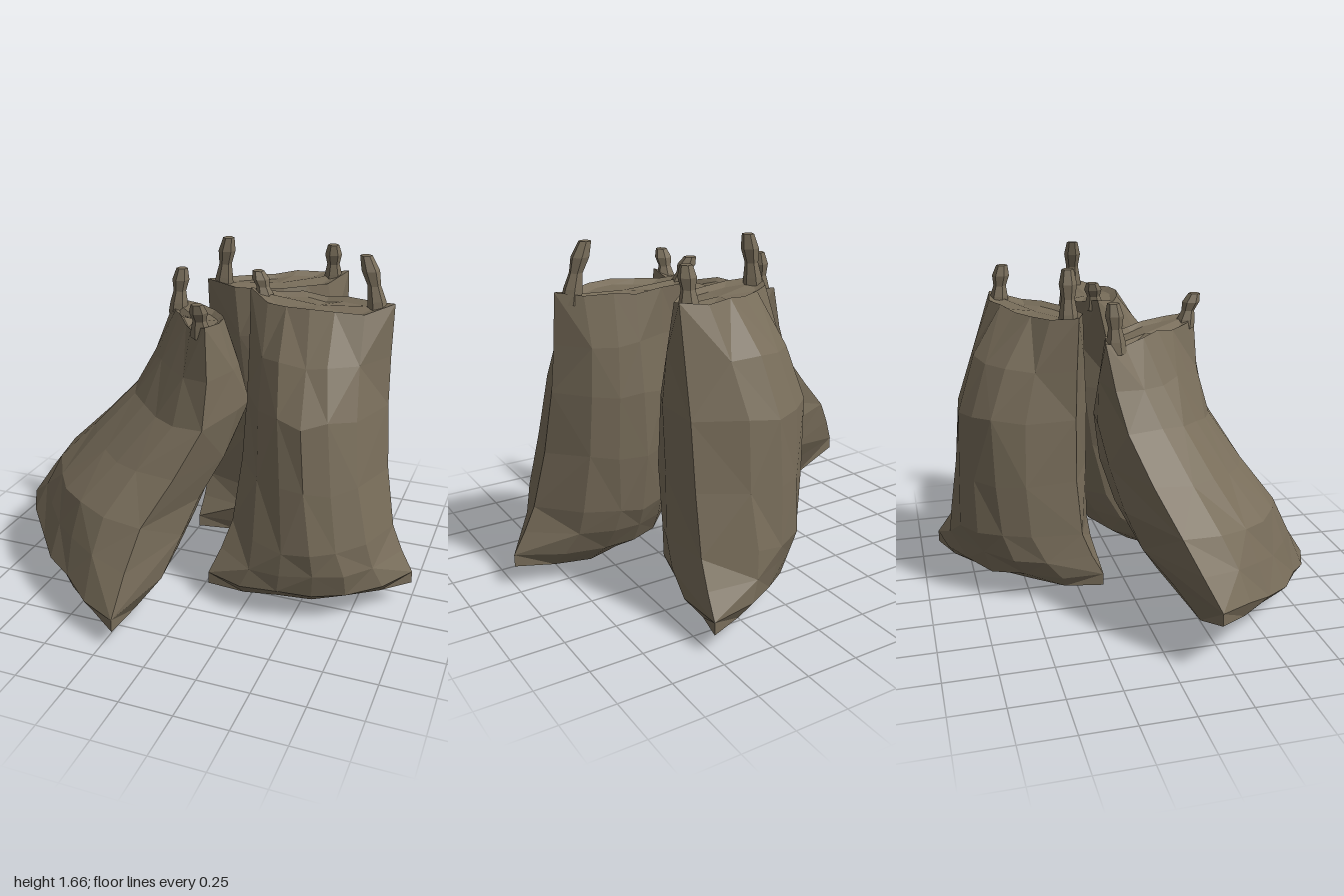
import * as THREE from 'three';

const SIDE = 6; // segments along each broad side of a sack
const LEVELS = 6; // bands of cloth from base to rim

const vec = (p) => new THREE.Vector3(...p);
const curve = (points) => new THREE.CatmullRomCurve3(points.map(vec));

// small seeded generator for the crumpled cloth
function seeded(seed) {
  return () => {
    seed = (seed * 16807) % 2147483647;
    return seed / 2147483647 - 0.5;
  };
}

const centre = (ring) =>
  ring.reduce((s, p) => s.add(p), new THREE.Vector3()).divideScalar(ring.length);

// flat-faceted skin through rings of points, closed at both ends
function loft(rings) {
  const pos = [];
  const tri = (...pts) => pts.forEach((p) => pos.push(p.x, p.y, p.z));
  const first = rings[0], last = rings[rings.length - 1];
  const bottom = centre(first), top = centre(last);
  const n = first.length;
  for (let j = 0; j < n; j++) {
    const k = (j + 1) % n;
    for (let i = 0; i < rings.length - 1; i++) {
      const a = rings[i], b = rings[i + 1];
      if ((i + j) % 2) {
        tri(a[j], a[k], b[k]);
        tri(a[j], b[k], b[j]);
      } else {
        tri(a[j], a[k], b[j]);
        tri(a[k], b[k], b[j]);
      }
    }
    tri(first[k], first[j], bottom);
    tri(last[j], last[k], top);
  }
  const g = new THREE.BufferGeometry();
  g.setAttribute('position', new THREE.Float32BufferAttribute(pos, 3));
  g.computeVertexNormals();
  return g;
}

// cross-section between two seam points, bulging outward and inward
function section(L, R, out, inn, power, rand) {
  const d = R.clone().sub(L).setY(0).normalize();
  const normal = new THREE.Vector3(-d.z, 0, d.x);
  return Array.from({ length: SIDE * 2 }, (_, j) => {
    const front = j <= SIDE;
    const t = front ? j / SIDE : 2 - j / SIDE;
    const s = Math.pow(Math.max(0, Math.sin(Math.PI * t)), power);
    const p = L.clone().lerp(R, t).addScaledVector(normal, s * (front ? out : -inn));
    if (s > 0.01) p.add(new THREE.Vector3(rand(), rand() * 1.6, rand()).multiplyScalar(0.02));
    return p;
  });
}

// twisted tuft of cloth: wide root, thin neck, knobbed end
function tuft(base, tip) {
  const bend = base.clone().lerp(tip, 0.25).setY((base.y + tip.y) / 2);
  const path = new THREE.QuadraticBezierCurve3(base, bend, tip);
  const radii = [0.05, 0.043, 0.031, 0.042, 0.028];
  return loft(radii.map((r, i) => {
    const c = path.getPoint(i / 4);
    return Array.from({ length: 6 }, (_, j) => {
      const a = (j / 6) * Math.PI * 2 + 0.3;
      return new THREE.Vector3(c.x - Math.cos(a) * r, c.y, c.z + Math.sin(a) * r);
    });
  }));
}

// seams run base to rim; bulge gives [outward, inward] depth at the same four levels
function makeSack(name, material, { seams, bulge, droop, tips, seed }) {
  const rand = seeded(seed);
  const [left, right] = seams.map(curve);
  const depth = curve(bulge.map(([o, i]) => [o, i, 0]));

  const rings = Array.from({ length: LEVELS + 1 }, (_, i) => {
    const u = i / LEVELS;
    const b = depth.getPoint(u);
    return section(left.getPoint(u), right.getPoint(u), b.x, b.y, i ? 0.62 : 0.8, rand);
  });

  // tucked underside, drooping on the inner side
  const baseL = left.getPoint(0), baseR = right.getPoint(0);
  baseL.y -= 0.06;
  baseR.y -= 0.06;
  const [out, inn] = bulge[0];
  const underside = section(baseL, baseR, out * 0.6, inn * 0.6, 0.85, rand);
  underside.forEach((p, j) => {
    if (j > SIDE) p.y -= droop * Math.sin((Math.PI * (j - SIDE)) / SIDE);
  });

  // rim lifted towards the tufts, with a slightly sunken closed mouth inside
  const rim = rings[LEVELS];
  [0, SIDE].forEach((j) => (rim[j].y += 0.02));
  const middle = centre(rim);
  const mouth = rim.map((p) => p.clone().lerp(middle, 0.22).setY(p.y - 0.02));

  const sack = new THREE.Group();
  sack.name = name;
  const add = (geometry, part) => {
    const mesh = new THREE.Mesh(geometry, material);
    mesh.name = part;
    sack.add(mesh);
  };
  add(loft([underside, ...rings, mouth]), 'sackBody');

  // one tuft at each end of the rim
  const ends = [left.getPoint(1), right.getPoint(1)];
  tips.forEach((tip, i) => {
    const base = ends[i].clone().lerp(ends[1 - i], 0.11);
    base.y -= 0.04;
    add(tuft(base, vec(tip)), 'cornerTuft');
  });
  return sack;
}

export function createModel() {
  const burlap = new THREE.MeshStandardMaterial({ color: 0x786d5a });
  burlap.name = 'burlap';

  const model = new THREE.Group();
  model.name = 'leaningSacks';

  // upright sack leaning back
  model.add(makeSack('leftSack', burlap, {
    seams: [
      [[0.06, 0.14, 0.37], [0.13, 0.37, 0.22], [0.13, 0.98, 0.02], [0.1, 1.44, -0.1]],
      [[1, 0.17, 0.06], [0.89, 0.4, 0.05], [0.81, 0.98, -0.04], [0.8, 1.43, -0.1]],
    ],
    bulge: [[0.21, 0.31], [0.33, 0.35], [0.38, 0.25], [0.17, 0.11]],
    droop: 0.02,
    tips: [[0.13, 1.54, -0.12], [0.65, 1.66, -0.11]],
    seed: 71,
  }));

  // upright sack leaning forward
  model.add(makeSack('backSack', burlap, {
    seams: [
      [[0.49, 0.15, -0.91], [0.47, 0.38, -0.77], [0.46, 0.97, -0.67], [0.46, 1.44, -0.58]],
      [[-0.2, 0.14, -0.15], [-0.18, 0.36, -0.25], [-0.17, 0.95, -0.27], [-0.18, 1.42, -0.25]],
    ],
    bulge: [[0.22, 0.27], [0.31, 0.33], [0.33, 0.31], [0.11, 0.17]],
    droop: 0.02,
    tips: [[0.39, 1.6, -0.52], [-0.08, 1.65, -0.28]],
    seed: 523,
  }));

  // slumped sack with its base kicked out
  model.add(makeSack('rightSack', burlap, {
    seams: [
      [[-1, 0.31, 0.19], [-0.82, 0.59, 0.06], [-0.46, 0.96, -0.09], [-0.32, 1.33, -0.16]],
      [[-0.2, 0.14, 0.91], [-0.15, 0.5, 0.68], [0.06, 0.92, 0.44], [0.05, 1.37, 0.37]],
    ],
    bulge: [[0.09, 0.56], [0.19, 0.56], [0.15, 0.38], [0.05, 0.16]],
    droop: 0.15,
    tips: [[-0.26, 1.52, -0.11], [0.01, 1.49, 0.36]],
    seed: 1999,
  }));

  return model;
}
